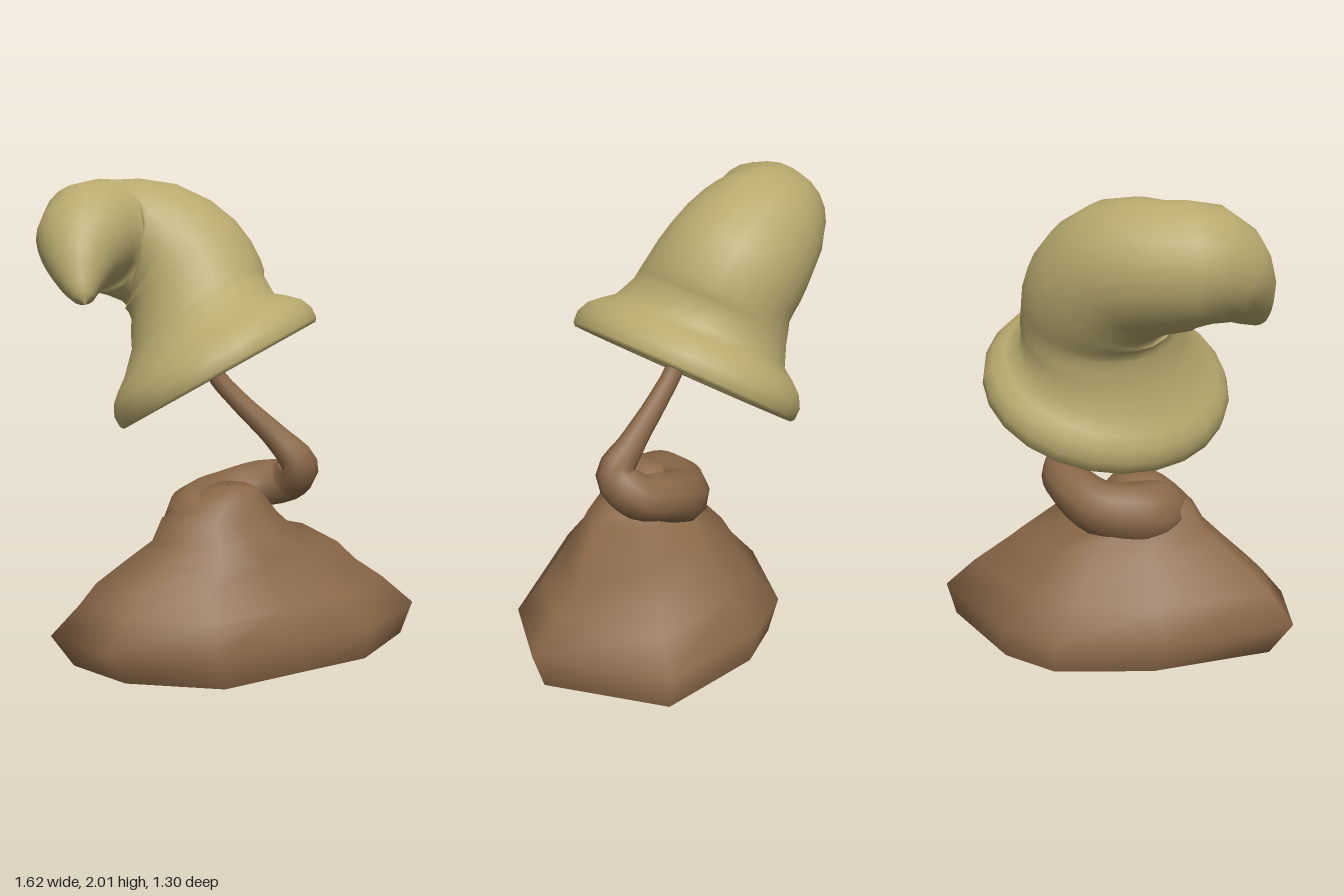
import * as THREE from 'three';

const V = (x, y, z) => new THREE.Vector3(x, y, z);
const BROWN = 0x8a6848, TAN = 0xb8a96e;

// Smooth skin over a list of equal-length point rings
function skin(name, rings, color) {
  const n = rings[0].length, pos = [], idx = [];
  rings.forEach(r => r.forEach(p => pos.push(p.x, p.y, p.z)));
  for (let k = 0; k < rings.length - 1; k++) {
    for (let i = 0; i < n; i++) {
      const j = (i + 1) % n, a = k * n + i, b = k * n + j;
      idx.push(a, b, b + n, a, b + n, a + n);
    }
  }
  const g = new THREE.BufferGeometry();
  g.setAttribute('position', new THREE.Float32BufferAttribute(pos, 3));
  g.setIndex(idx);
  g.computeVertexNormals();
  const mesh = new THREE.Mesh(g, new THREE.MeshStandardMaterial({ color, side: THREE.DoubleSide }));
  mesh.name = name;
  return mesh;
}

// Round rings from {c: centre, n: direction, r: radius}, carrying one reference vector along
function roundRings(stations, sides) {
  const ref = V(0, 0, 1);
  return stations.map(({ c, n, r }) => {
    const u = ref.addScaledVector(n, -ref.dot(n)).normalize();
    const v = n.clone().cross(u);
    return Array.from({ length: sides }, (_, i) => {
      const a = i / sides * Math.PI * 2;
      return c.clone().addScaledVector(u, r * Math.cos(a)).addScaledVector(v, r * Math.sin(a));
    });
  });
}

// Stations along a smooth path of [x, y, z, radius]
function along(points, steps) {
  const curve = new THREE.CatmullRomCurve3(points.map(p => V(p[0], p[1], p[2])));
  const radii = new THREE.SplineCurve(points.map((p, i) => new THREE.Vector2(i, p[3])));
  return Array.from({ length: steps + 1 }, (_, i) => {
    const t = i / steps;
    return { c: curve.getPoint(t), n: curve.getTangent(t), r: Math.max(0.001, radii.getPoint(t).y) };
  });
}

export function createModel() {
  const model = new THREE.Group();
  model.name = 'drooping hat on twisted stem';

  // Rocky mound, hollow below: one irregular outline, refitted to each level's extents
  const outline = [
    [-0.81, -0.08], [-0.73, 0.23], [-0.42, 0.54], [-0.05, 0.595], [0.31, 0.65],
    [0.68, 0.52], [0.81, -0.05], [0.42, -0.4], [0.15, -0.49], [-0.3, -0.38],
  ];
  const levels = [ // y, xMin, xMax, zMin, zMax
    [0, -0.71, 0.77, -0.45, 0.60],
    [0.15, -0.81, 0.81, -0.49, 0.65],
    [0.27, -0.70, 0.68, -0.36, 0.54],
    [0.35, -0.62, 0.57, -0.30, 0.45],
    [0.44, -0.49, 0.46, -0.22, 0.415],
    [0.51, -0.39, 0.24, -0.14, 0.37],
    [0.60, -0.34, 0.15, -0.10, 0.30],
    [0.67, -0.24, 0.08, -0.02, 0.28],
    [0.715, -0.15, 0.04, 0.05, 0.23],
    [0.72, -0.07, -0.06, 0.13, 0.14],
  ];
  const moundRings = levels.map(([y, x0, x1, z0, z1]) => outline.map(([x, z]) => V(
    THREE.MathUtils.mapLinear(x, -0.81, 0.81, x0, x1), y,
    THREE.MathUtils.mapLinear(z, -0.49, 0.65, z0, z1))));
  model.add(skin('mound', moundRings, BROWN));

  // Stem: thick coil round the back of the mound, then a thin rising stalk
  const stem = along([
    [-0.19, 0.55, 0.17, 0.12], [-0.17, 0.565, 0.07, 0.145], [-0.09, 0.58, -0.01, 0.14],
    [0.06, 0.605, -0.05, 0.125], [0.20, 0.66, 0.01, 0.11], [0.28, 0.695, 0.12, 0.10],
    [0.265, 0.78, 0.215, 0.085], [0.19, 0.90, 0.15, 0.058], [0.07, 1.05, 0.05, 0.045],
    [-0.015, 1.18, -0.02, 0.04], [-0.03, 1.30, -0.03, 0.037], [-0.035, 1.49, -0.09, 0.035],
  ], 40);
  model.add(skin('stem', roundRings(stem, 10), BROWN));

  // Hat: hollow inside, flared brim, then a crown that bends over into a hook
  const c0 = V(0.03, 1.175, -0.055), up = V(-0.34, 1, -0.42).normalize();
  const brim = [ // height along the tilted axis, radius
    [0.34, 0.001], [0.31, 0.14], [0.24, 0.26], [0.14, 0.36], [0.05, 0.45],
    [0.0, 0.487], [-0.015, 0.505], [0.0, 0.518], [0.05, 0.52], [0.10, 0.495],
    [0.14, 0.45], [0.18, 0.395],
  ].map(([h, r]) => ({ c: c0.clone().addScaledVector(up, h), n: up, r }));
  const crown = along([
    [0.0, 1.43, -0.165, 0.35], [0.015, 1.53, -0.20, 0.325], [-0.015, 1.63, -0.265, 0.315],
    [-0.12, 1.72, -0.345, 0.29], [-0.29, 1.755, -0.405, 0.25], [-0.425, 1.755, -0.355, 0.235],
    [-0.525, 1.68, -0.255, 0.175], [-0.58, 1.585, -0.17, 0.10], [-0.605, 1.52, -0.11, 0.045],
    [-0.612, 1.495, -0.09, 0.001],
  ], 18);
  // Ease the crown's tilt out of the brim's tilt
  crown.forEach((s, i) => s.n.lerp(up, Math.max(0, 1 - i / 6)).normalize());
  const stations = [...brim, ...crown], hatRings = roundRings(stations, 24);

  // The opening is slightly oval on the diagonals, fading out up the crown
  const narrow = V(1, 0, 1).normalize(), wide = V(1, 0, -1).normalize();
  hatRings.forEach((ring, k) => {
    const w = THREE.MathUtils.clamp((brim.length + 5 - k) / 5, 0, 1);
    ring.forEach(p => {
      const d = p.clone().sub(stations[k].c);
      p.addScaledVector(narrow, -0.07 * w * d.dot(narrow)).addScaledVector(wide, 0.04 * w * d.dot(wide));
    });
  });
  model.add(skin('hat', hatRings, TAN));

  return model;
}
